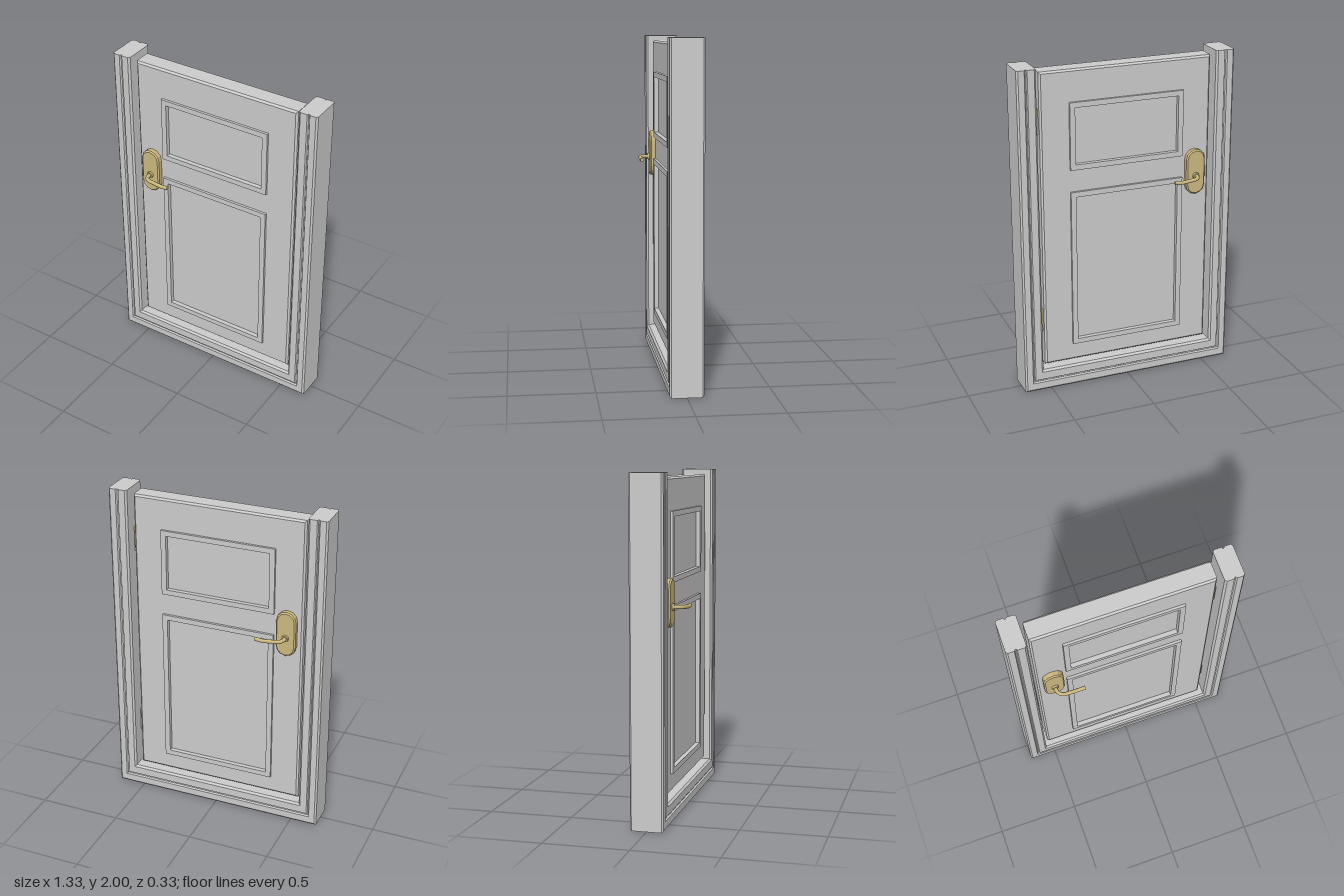
import * as THREE from 'three';

const grey = new THREE.MeshStandardMaterial({ color: 0xcccccc });
const brass = new THREE.MeshStandardMaterial({ color: 0xccb980 });

function rect(x0, y0, x1, y1, Type = THREE.Shape) {
  return new Type([[x0, y0], [x1, y0], [x1, y1], [x0, y1]].map(p => new THREE.Vector2(...p)));
}

function mesh(name, geometry, material) {
  const m = new THREE.Mesh(geometry, material);
  m.name = name;
  return m;
}

// Extrusion from z0 to z1; the bevel stays inside the outline
function slab(shape, z0, z1, bevel = 0) {
  const g = new THREE.ExtrudeGeometry(shape, {
    depth: z1 - z0 - 2 * bevel, bevelEnabled: bevel > 0, bevelSegments: 1,
    bevelSize: bevel, bevelThickness: bevel, bevelOffset: -bevel, curveSegments: 3,
  });
  return g.translate(0, 0, z0 + bevel);
}

// U-shaped surround: a moulded section mitred round both lower corners
function surroundGeometry() {
  const half = [[0, 0.088], [0.01, 0.098], [0.046, 0.098], [0.052, 0.089],
    [0.058, 0.089], [0.063, 0.098], [0.104, 0.098], [0.115, 0.087]];
  const section = [[0, -0.088], ...half, ...half.slice(1).reverse().map(([d, z]) => [d, -z])];
  const W = 0.665, H = 2, sill = 0.133 / 0.115;
  const stations = [
    ([d, z]) => [d - W, H, z], ([d, z]) => [d - W, d * sill, z],
    ([d, z]) => [W - d, d * sill, z], ([d, z]) => [W - d, H, z],
  ];
  const pos = [], n = section.length;
  for (let i = 0; i < n; i++) {
    const p = section[i], q = section[(i + 1) % n];
    for (let j = 0; j < 3; j++) {
      const a = stations[j](p), b = stations[j](q);
      const c = stations[j + 1](q), d = stations[j + 1](p);
      pos.push(...a, ...c, ...b, ...a, ...d, ...c);
    }
    // Post tops
    const mid = [0.0575, 0];
    pos.push(...stations[0](mid), ...stations[0](p), ...stations[0](q));
    pos.push(...stations[3](mid), ...stations[3](q), ...stations[3](p));
  }
  const g = new THREE.BufferGeometry();
  g.setAttribute('position', new THREE.Float32BufferAttribute(pos, 3));
  g.computeVertexNormals();
  return g;
}

// Door leaf with two inset panels, each ringed by a raised moulding
function buildDoor() {
  const door = new THREE.Group();
  door.name = 'door';
  const leaf = rect(-0.53, 0.15, 0.525, 1.97);
  for (const [name, y0, y1] of [['lower', 0.26, 1.24], ['upper', 1.375, 1.78]]) {
    const x0 = -0.355, x1 = 0.35, w = 0.032;
    leaf.holes.push(rect(x0 + 0.016, y0 + 0.016, x1 - 0.016, y1 - 0.016, THREE.Path));
    const ring = rect(x0, y0, x1, y1);
    ring.holes.push(rect(x0 + w, y0 + w, x1 - w, y1 - w, THREE.Path));
    door.add(mesh(name + 'Moulding', slab(ring, -0.075, 0.075), grey));
    door.add(mesh(name + 'Panel', slab(rect(x0 + 0.01, y0 + 0.01, x1 - 0.01, y1 - 0.01), -0.048, 0.048), grey));
  }
  door.add(mesh('doorLeaf', slab(leaf, -0.06, 0.06, 0.011), grey));
  return door;
}

// Back plate, collar and bent lever, built for the front side
function buildHandle() {
  const handle = new THREE.Group();
  const cx = -0.435, r = 0.06, y0 = 1.13, y1 = 1.41;
  const outline = new THREE.Shape();
  outline.absarc(cx, y1 - r, r, 0, Math.PI);
  outline.absarc(cx, y0 + r, r, Math.PI, 2 * Math.PI);
  handle.add(mesh('handlePlate', slab(outline, 0.05, 0.094, 0.008), brass));

  const collar = new THREE.CylinderGeometry(0.019, 0.022, 0.014, 12);
  collar.rotateX(Math.PI / 2).translate(cx, 1.247, 0.098);
  handle.add(mesh('handleCollar', collar, brass));

  const points = [[cx, 1.247, 0.09], [cx, 1.247, 0.115], [-0.427, 1.247, 0.138],
    [-0.405, 1.246, 0.153], [-0.37, 1.243, 0.155], [-0.32, 1.238, 0.155], [-0.273, 1.242, 0.155]]
    .map(p => new THREE.Vector3(...p));
  const path = new THREE.CatmullRomCurve3(points);
  handle.add(mesh('lever', new THREE.TubeGeometry(path, 20, 0.0115, 8), brass));
  const tip = new THREE.CylinderGeometry(0.0115, 0.0115, 0.003, 8);
  tip.rotateZ(Math.PI / 2).translate(-0.273, 1.242, 0.155);
  handle.add(mesh('leverTip', tip, brass));
  return handle;
}

export function createModel() {
  const model = new THREE.Group();
  model.name = 'framedDoor';
  model.add(mesh('surround', surroundGeometry(), grey));
  model.add(buildDoor());

  // Handles on both faces, turned so the levers point the same way
  const front = buildHandle();
  front.name = 'frontHandle';
  const back = buildHandle();
  back.name = 'backHandle';
  back.scale.z = -1;
  model.add(front, back);

  // Hinges bridging the gap beside the post
  for (const [name, y0, y1] of [['lowerHinge', 0.365, 0.51], ['upperHinge', 1.6, 1.75]]) {
    const g = new THREE.CylinderGeometry(0.028, 0.028, y1 - y0, 8);
    g.translate(0.526, (y0 + y1) / 2, 0);
    model.add(mesh(name, g, brass));
  }
  return model;
}
